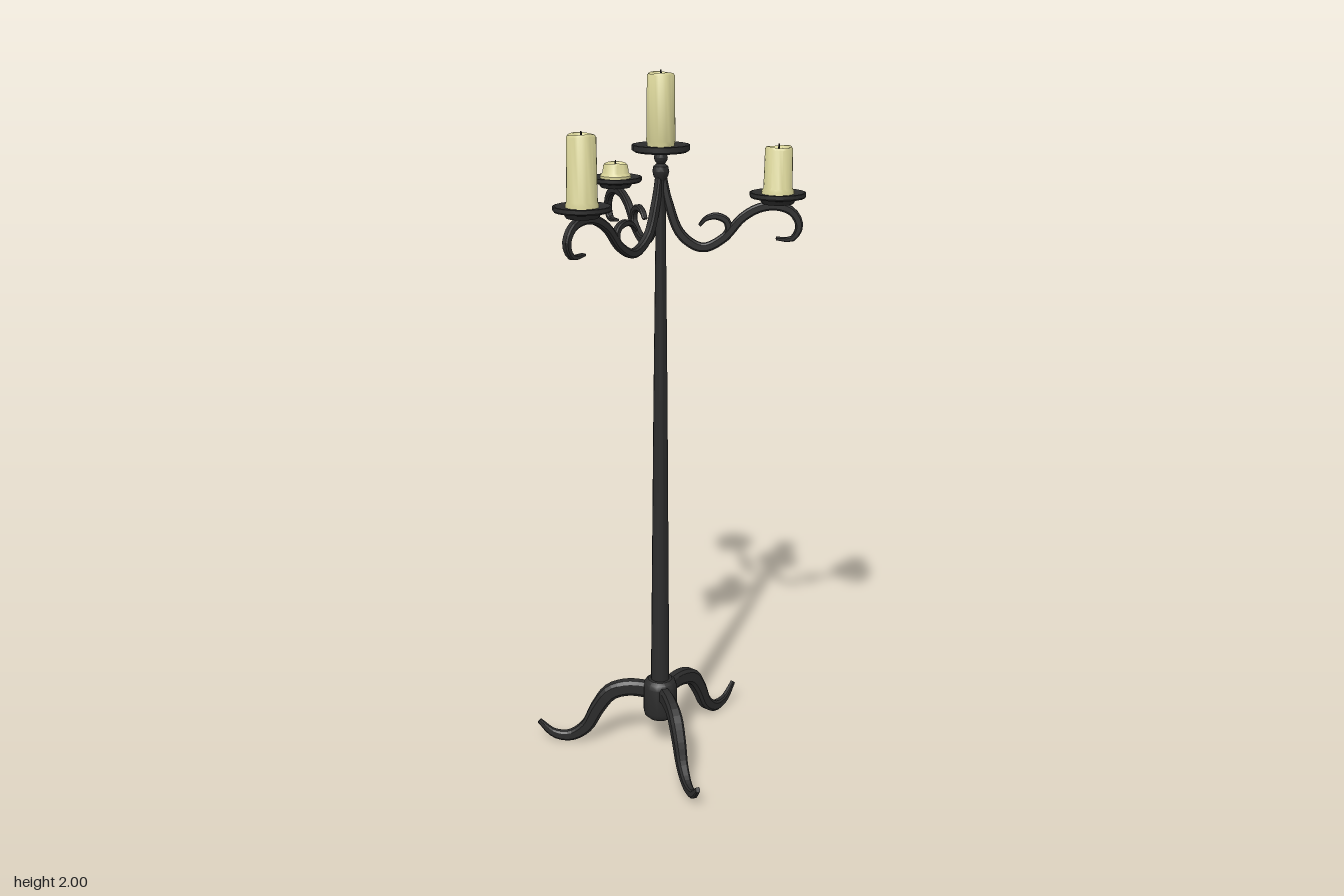
import * as THREE from 'three';
import { toCreasedNormals } from 'three/addons/utils/BufferGeometryUtils.js';

const iron = new THREE.MeshStandardMaterial({ color: 0x2c2c2c });
const ironFlat = new THREE.MeshStandardMaterial({ color: 0x2c2c2c, flatShading: true });
const wax = new THREE.MeshStandardMaterial({ color: 0xd8d398 });
const wickMat = new THREE.MeshStandardMaterial({ color: 0x1c1a16 });

const AXIS_X = 0.013, AXIS_Z = 0.017;

function add(parent, name, geometry, material) {
  const mesh = new THREE.Mesh(geometry, material);
  mesh.name = name;
  parent.add(mesh);
  return mesh;
}

function lathe(profile, sides) {
  const pts = profile.map(([r, y]) => new THREE.Vector2(r, y));
  return toCreasedNormals(new THREE.LatheGeometry(pts, sides), 0.6);
}

// Piecewise linear lookup of evenly spaced values at t in 0..1
function sample(values, t) {
  const f = t * (values.length - 1);
  const i = Math.min(Math.floor(f), values.length - 2);
  return THREE.MathUtils.lerp(values[i], values[i + 1], f - i);
}

// Forged bar: a chamfered rectangle swept along a path in the xy plane.
// thick and wide list the half sizes along the path.
function forgedBar(path, thick, wide, steps) {
  const curve = new THREE.CatmullRomCurve3(path.map(([x, y]) => new THREE.Vector3(x, y, 0)));
  const section = [[1, -0.6], [1, 0.6], [0.6, 1], [-0.6, 1], [-1, 0.6], [-1, -0.6], [-0.6, -1], [0.6, -1]];
  const n = section.length, pos = [], index = [];
  for (let i = 0; i <= steps; i++) {
    const t = i / steps;
    const p = curve.getPointAt(t), d = curve.getTangentAt(t);
    const h = sample(thick, t), w = sample(wide, t);
    for (const [a, b] of section) pos.push(p.x - d.y * a * h, p.y + d.x * a * h, b * w);
  }
  for (let i = 0; i < steps; i++) {
    for (let j = 0; j < n; j++) {
      const a = i * n + j, b = i * n + (j + 1) % n;
      index.push(a, b, a + n, b, b + n, a + n);
    }
  }
  const last = steps * n;
  for (let j = 1; j < n - 1; j++) {
    index.push(0, j + 1, j, last, last + j, last + j + 1);
  }
  const g = new THREE.BufferGeometry();
  g.setAttribute('position', new THREE.Float32BufferAttribute(pos, 3));
  g.setIndex(index);
  g.computeVertexNormals();
  return g;
}

// Candle with a hollowed, slightly uneven melted top and a wick
function makeCandle(height, radius, foot) {
  const g = new THREE.Group();
  g.name = 'candle';
  const r = radius;
  const pts = [[foot, 0], [foot, 0.008], [r + 0.002, 0.016], [r, height - 0.006], [r - 0.004, height],
    [r - 0.008, height - 0.001], [r - 0.013, height - 0.009], [0, height - 0.011]]
    .map(([x, y]) => new THREE.Vector2(x, y));
  const body = new THREE.LatheGeometry(pts, 24);
  const p = body.attributes.position;
  for (let i = 0; i < p.count; i++) {
    if (p.getY(i) < height - 0.007) continue;
    const a = Math.atan2(p.getZ(i), p.getX(i));
    p.setY(i, p.getY(i) - 0.002 + 0.002 * Math.sin(2 * a + height * 20));
  }
  add(g, 'wax', toCreasedNormals(body, 0.7), wax);
  const wick = add(g, 'wick', new THREE.CylinderGeometry(0.002, 0.003, 0.02, 6), wickMat);
  wick.position.y = height - 0.004;
  return g;
}

export function createModel() {
  const model = new THREE.Group();
  model.name = 'candelabrum';
  const stand = new THREE.Group();
  stand.name = 'stand';
  stand.position.set(AXIS_X, 0, AXIS_Z);
  model.add(stand);

  // Tapered pole with beaded neck
  add(stand, 'pole', lathe([
    [0, 0.15], [0.028, 0.15], [0.027, 0.3], [0.02, 1.1], [0.014, 1.6], [0.013, 1.71],
    [0.02, 1.722], [0.023, 1.735], [0.02, 1.748], [0.011, 1.755], [0.017, 1.763],
    [0.019, 1.772], [0.015, 1.782], [0.015, 1.79], [0, 1.792],
  ], 12), iron);

  // Bevelled hub holding the legs
  add(stand, 'hub', lathe([
    [0, 0.1], [0.036, 0.1], [0.047, 0.11], [0.051, 0.125], [0.051, 0.205],
    [0.046, 0.218], [0.036, 0.226], [0, 0.228],
  ], 12), iron);

  // Curved legs with upturned toes
  const legGeometry = forgedBar(
    [[0.02, 0.185], [0.095, 0.191], [0.15, 0.172], [0.19, 0.118], [0.225, 0.053], [0.275, 0.019], [0.325, 0.023], [0.37, 0.063]],
    [0.025, 0.024, 0.023, 0.021, 0.018, 0.014, 0.007],
    [0.015, 0.017, 0.019, 0.017, 0.014, 0.01, 0.006], 26);
  for (const angle of [0, 124, -124]) {
    const leg = add(stand, 'leg', legGeometry, ironFlat);
    leg.rotation.y = THREE.MathUtils.degToRad(angle);
  }

  // Drip plate under each candle
  const armPlate = lathe([
    [0, 0], [0.042, 0], [0.05, 0.012], [0.073, 0.016], [0.076, 0.02],
    [0.076, 0.03], [0.072, 0.031], [0.066, 0.027], [0, 0.027],
  ], 18);
  const topPlate = lathe([
    [0, 0], [0.07, 0], [0.078, 0.005], [0.078, 0.019], [0.074, 0.02], [0.066, 0.016], [0, 0.016],
  ], 18);

  // Central plate and candle
  add(stand, 'topPlate', topPlate, iron).position.y = 1.786;
  const topCandle = makeCandle(0.193, 0.037, 0.037);
  topCandle.position.y = 1.8;
  stand.add(topCandle);

  // Scrolled arms, each with an inner curl, a plate and a candle
  const armGeometry = forgedBar(
    [[0.006, 1.73], [0.02, 1.655], [0.055, 1.565], [0.113, 1.529], [0.17, 1.555], [0.22, 1.611], [0.267, 1.638],
      [0.315, 1.643], [0.355, 1.627], [0.374, 1.59], [0.356, 1.555], [0.312, 1.555]],
    [0.008, 0.012, 0.013, 0.012, 0.012, 0.012, 0.011, 0.004],
    [0.009, 0.011, 0.011, 0.01, 0.01, 0.01, 0.01, 0.009], 44);
  const curlGeometry = forgedBar(
    [[0.16, 1.547], [0.183, 1.575], [0.178, 1.602], [0.15, 1.615], [0.122, 1.608], [0.105, 1.59]],
    [0.01, 0.01, 0.009, 0.004], [0.009, 0.009, 0.009, 0.007], 16);
  const reach = 0.314;
  const arms = [
    { dir: [-0.313, 0], height: 0.185, radius: 0.038, foot: 0.043 },
    { dir: [0.14, -0.284], height: 0.045, radius: 0.036, foot: 0.045 },
    { dir: [0.192, 0.25], height: 0.127, radius: 0.037, foot: 0.044 },
  ];
  for (const { dir, height, radius, foot } of arms) {
    const arm = new THREE.Group();
    arm.name = 'arm';
    arm.rotation.y = -Math.atan2(dir[1], dir[0]);
    add(arm, 'scroll', armGeometry, ironFlat);
    add(arm, 'innerCurl', curlGeometry, ironFlat);
    add(arm, 'plate', armPlate, iron).position.set(reach, 1.65, 0);
    const candle = makeCandle(height, radius, foot);
    candle.position.set(reach, 1.676, 0);
    arm.add(candle);
    stand.add(arm);
  }
  return model;
}
